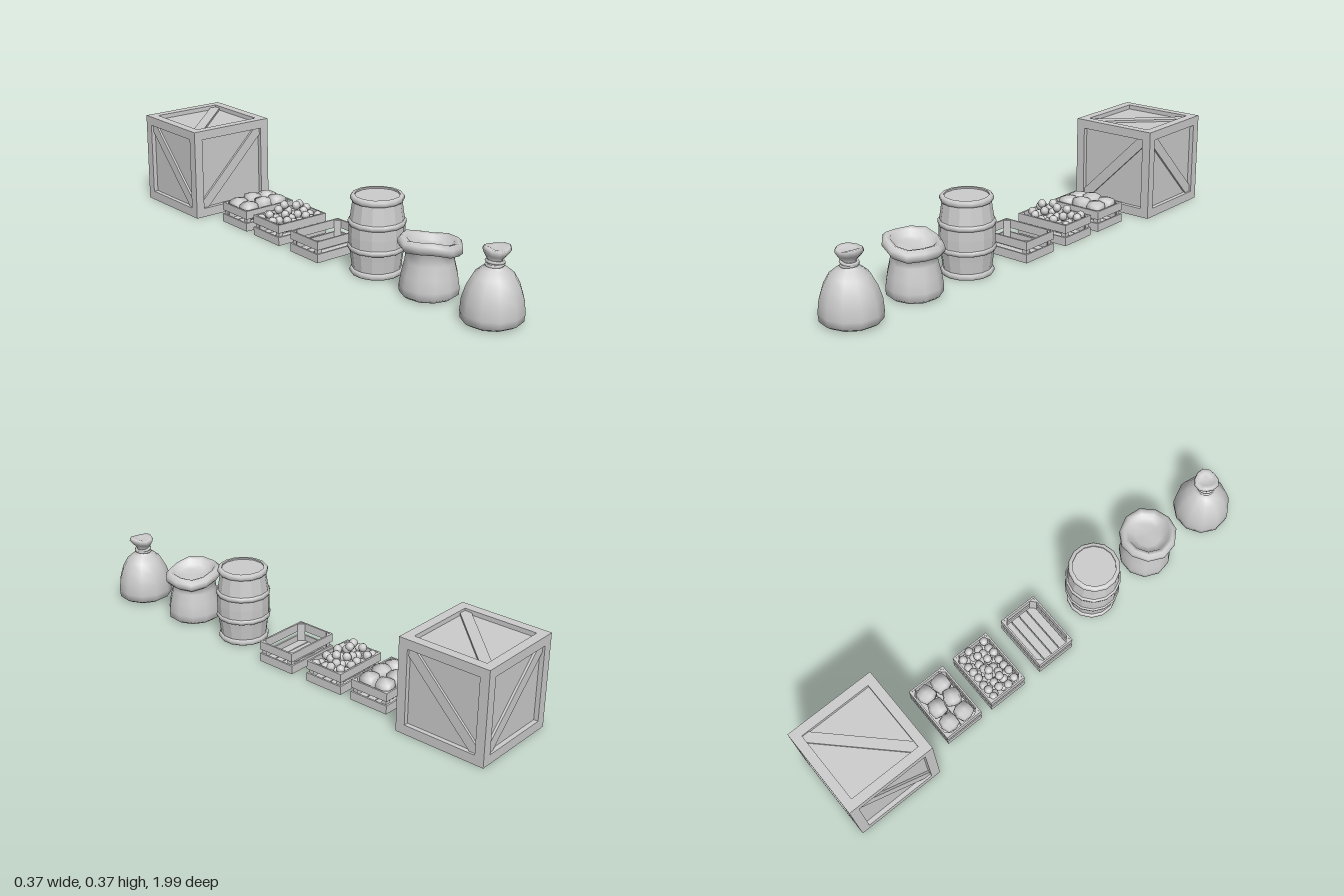
import * as THREE from 'three';
import { mergeVertices } from 'three/addons/utils/BufferGeometryUtils.js';

const smooth = new THREE.MeshStandardMaterial({ color: 0xcccccc });
const flat = new THREE.MeshStandardMaterial({ color: 0xcccccc, flatShading: true });

function add(parent, name, geo, mat = flat, x = 0, y = 0, z = 0) {
  const m = new THREE.Mesh(geo, mat);
  m.name = name;
  m.position.set(x, y, z);
  parent.add(m);
  return m;
}

function group(parent, name, z) {
  const g = new THREE.Group();
  g.name = name;
  g.position.z = z;
  parent.add(g);
  return g;
}

const lathe = (pts, sides) =>
  new THREE.LatheGeometry(pts.map(([r, y]) => new THREE.Vector2(r, y)), sides);

// Moves every vertex by a rule, then welds seams and smooths
function deform(geo, rule) {
  const p = geo.attributes.position, v = new THREE.Vector3();
  for (let i = 0; i < p.count; i++) {
    rule(v.fromBufferAttribute(p, i));
    p.setXYZ(i, v.x, v.y, v.z);
  }
  geo.deleteAttribute('normal');
  geo.deleteAttribute('uv');
  const out = mergeVertices(geo, 1e-5);
  out.computeVertexNormals();
  return out;
}

// Large closed crate: corner frame, recessed panels, one diagonal brace per face
function bigCrate(parent) {
  const S = 0.37, H = S / 2, F = 0.037, inner = S - 2 * F, q = inner / 2, c = 0.029;
  const g = group(parent, 'largeCrate', -0.815);
  g.position.y = H;
  const o = H - F / 2;
  for (const a of [-o, o]) for (const b of [-o, o]) {
    add(g, 'cornerPost', new THREE.BoxGeometry(F, S, F), flat, a, 0, b);
    add(g, 'frameRailX', new THREE.BoxGeometry(inner, F, F), flat, 0, a, b);
    add(g, 'frameRailZ', new THREE.BoxGeometry(F, F, inner), flat, a, b, 0);
  }
  const core = S - 0.036;
  add(g, 'panels', new THREE.BoxGeometry(core, core, core));
  const shape = new THREE.Shape([[-q, -q], [-q + c, -q], [q, q - c], [q, q], [q - c, q], [-q, -q + c]]
    .map(([x, y]) => new THREE.Vector2(x, y)));
  const brace = new THREE.ExtrudeGeometry(shape, { depth: 0.009, bevelEnabled: false });
  brace.translate(0, 0, core / 2);
  // [rotation x, rotation y, rotation z]; the quarter roll flips the diagonal
  const R = Math.PI / 2;
  for (const [x, y, z] of [[0, 0, 0], [0, 2 * R, 0], [0, R, R], [0, -R, R], [-R, 0, 0], [R, 0, 0]])
    add(g, 'diagonalBrace', brace).rotation.set(x, y, z);
}

// Small open slatted crate
function smallCrate(parent, name, z) {
  const W = 0.238, D = 0.166, T = 0.007, h = 0.034, g = group(parent, name, z);
  for (const y of [h / 2, 0.068]) for (const s of [-1, 1]) {
    add(g, 'longSlat', new THREE.BoxGeometry(W, h, T), flat, 0, y, s * (D - T) / 2);
    add(g, 'endSlat', new THREE.BoxGeometry(T, h, D - 2 * T), flat, s * (W - T) / 2, y, 0);
  }
  // Triangular corner posts
  const tri = new THREE.Shape([[0, 0], [0.02, 0], [0, 0.02]].map(([a, b]) => new THREE.Vector2(a, b)));
  const post = new THREE.ExtrudeGeometry(tri, { depth: 0.08, bevelEnabled: false });
  post.rotateX(-Math.PI / 2);
  for (const [sx, sz, turn] of [[-1, 1, 0], [1, 1, 1], [1, -1, 2], [-1, -1, 3]])
    add(g, 'cornerPost', post, flat, sx * (W / 2 - T), 0.003, sz * (D / 2 - T)).rotation.y = turn * Math.PI / 2;
  // Floor boards
  const n = 4, pitch = (D - 2 * T) / n;
  for (let i = 0; i < n; i++)
    add(g, 'floorBoard', new THREE.BoxGeometry(W - 2 * T, T, pitch - 0.004), flat, 0, 0.007, (i - 1.5) * pitch);
  return g;
}

// Heap of small round produce, higher in the middle
function smallProduce(g) {
  const ball = new THREE.SphereGeometry(0.0175, 8, 6);
  for (let r = 0; r < 4; r++) for (let i = 0; i < 7; i++) {
    const x = (i - 3) * 0.031 + (r % 2 ? 0.006 : -0.006), z = (r - 1.5) * 0.037;
    const y = 0.073 + 0.012 * Math.sin(i * 2.3 + r * 1.7) + 0.016 * (1 - Math.abs(z) / 0.06);
    add(g, 'smallProduce', ball, smooth, x, y, z).rotation.set(i, r, i + r);
  }
  // Lower layer and a few on top
  for (let r = 0; r < 3; r++) for (let i = 0; i < 6; i++)
    add(g, 'smallProduce', ball, smooth, (i - 2.5) * 0.034, 0.05, (r - 1) * 0.042);
  for (const [x, z, y] of [[-0.06, 0.006, 0.118], [-0.018, -0.012, 0.124], [0.022, 0.014, 0.12], [0.055, -0.008, 0.115]])
    add(g, 'smallProduce', ball, smooth, x, y, z);
}

// Six chunky, rounded-square pieces of produce
function largeProduce(g) {
  const geo = deform(new THREE.BoxGeometry(2, 2, 2, 2, 2, 2), v => {
    const k = Math.round(v.lengthSq());
    v.setLength([0, 0.037, 0.041, 0.045][k]);
  });
  const turns = [0.1, -0.12, 0.25, 0.2, -0.35, 0.08];
  for (let i = 0; i < 6; i++) {
    const m = add(g, 'largeProduce', geo, smooth, (i % 3 - 1) * 0.07, 0.068 + (i * 5 % 3) * 0.004, i < 3 ? -0.036 : 0.034);
    m.rotation.set(0.12 * Math.sin(i * 3), turns[i], 0.12 * Math.cos(i * 2));
  }
}

function barrel(parent) {
  const N = 14, g = group(parent, 'barrel', 0.289);
  const body = [[0, 0.006], [0.09, 0.006], [0.098, 0.07], [0.104, 0.11], [0.105, 0.152],
    [0.104, 0.194], [0.098, 0.235], [0.089, 0.297], [0, 0.297]];
  add(g, 'barrelBody', lathe(body, N));
  // Rounded end rims
  const rim = [[0.084, 0.0], [0.095, 0.0], [0.1, 0.006], [0.1, 0.016], [0.096, 0.023], [0.084, 0.023], [0.084, 0]];
  add(g, 'bottomRim', lathe(rim, N), smooth);
  add(g, 'topRim', lathe(rim.map(([r, y]) => [r, 0.303 - y]).reverse(), N), smooth);
  // Hoops round the belly
  const hoop = [[0.098, -0.011], [0.107, -0.009], [0.109, 0], [0.107, 0.009], [0.098, 0.011]];
  for (const y of [0.104, 0.2]) add(g, 'hoop', lathe(hoop, N), smooth, 0, y, 0);
}

function openSack(parent) {
  const g = group(parent, 'openSack', 0.573);
  // Up the outside, over the rolled collar and down to the contents
  const profile = [[0, 0], [0.09, 0], [0.106, 0.012], [0.107, 0.04], [0.1, 0.085], [0.089, 0.13], [0.084, 0.168],
    [0.104, 0.168], [0.115, 0.182], [0.114, 0.2], [0.1, 0.213], [0.084, 0.208], [0.074, 0.188], [0.05, 0.18], [0, 0.184]];
  add(g, 'sackBody', deform(lathe(profile, 11), v => {
    const a = Math.atan2(v.z, v.x), k = THREE.MathUtils.smoothstep(v.y, 0.12, 0.17);
    const r = Math.hypot(v.x, v.z) / 0.1;
    v.y += k * r * (-0.013 * Math.cos(a) + 0.006 * Math.sin(3 * a + 1));
    const s = 1 + 0.025 * Math.sin(2 * a + 0.6);
    v.x *= s;
    v.z *= s;
  }), smooth);
}

function tiedSack(parent) {
  const g = group(parent, 'tiedSack', 0.88);
  const profile = [[0, 0], [0.09, 0], [0.11, 0.012], [0.113, 0.04], [0.109, 0.085], [0.095, 0.13], [0.073, 0.17],
    [0.046, 0.193], [0.028, 0.205], [0.026, 0.224], [0.041, 0.243], [0.05, 0.258], [0.045, 0.267], [0.028, 0.265], [0, 0.252]];
  add(g, 'sackBody', deform(lathe(profile, 11), v => {
    const a = Math.atan2(v.z, v.x), k = THREE.MathUtils.smoothstep(v.y, 0.22, 0.26);
    const s = 1 + 0.02 * Math.sin(2 * a + 2) * (1 - k) + 0.06 * k * Math.sin(3 * a);
    v.x = v.x * s + 0.007 * k;
    v.z *= s;
    v.y += 0.004 * k * Math.sin(2 * a + 1);
  }), smooth);
  // Cord wound round the neck
  for (const [y, tilt] of [[0.207, 0.1], [0.217, -0.12]]) {
    const cord = add(g, 'neckCord', new THREE.TorusGeometry(0.029, 0.006, 6, 14), smooth, 0.002, y, 0);
    cord.rotation.set(Math.PI / 2, tilt, 0);
  }
}

export function createModel() {
  const model = new THREE.Group();
  model.name = 'storageGoods';
  bigCrate(model);
  largeProduce(smallCrate(model, 'largeProduceCrate', -0.453));
  smallProduce(smallCrate(model, 'smallProduceCrate', -0.238));
  smallCrate(model, 'emptyCrate', 0.004);
  barrel(model);
  openSack(model);
  tiedSack(model);
  return model;
}
